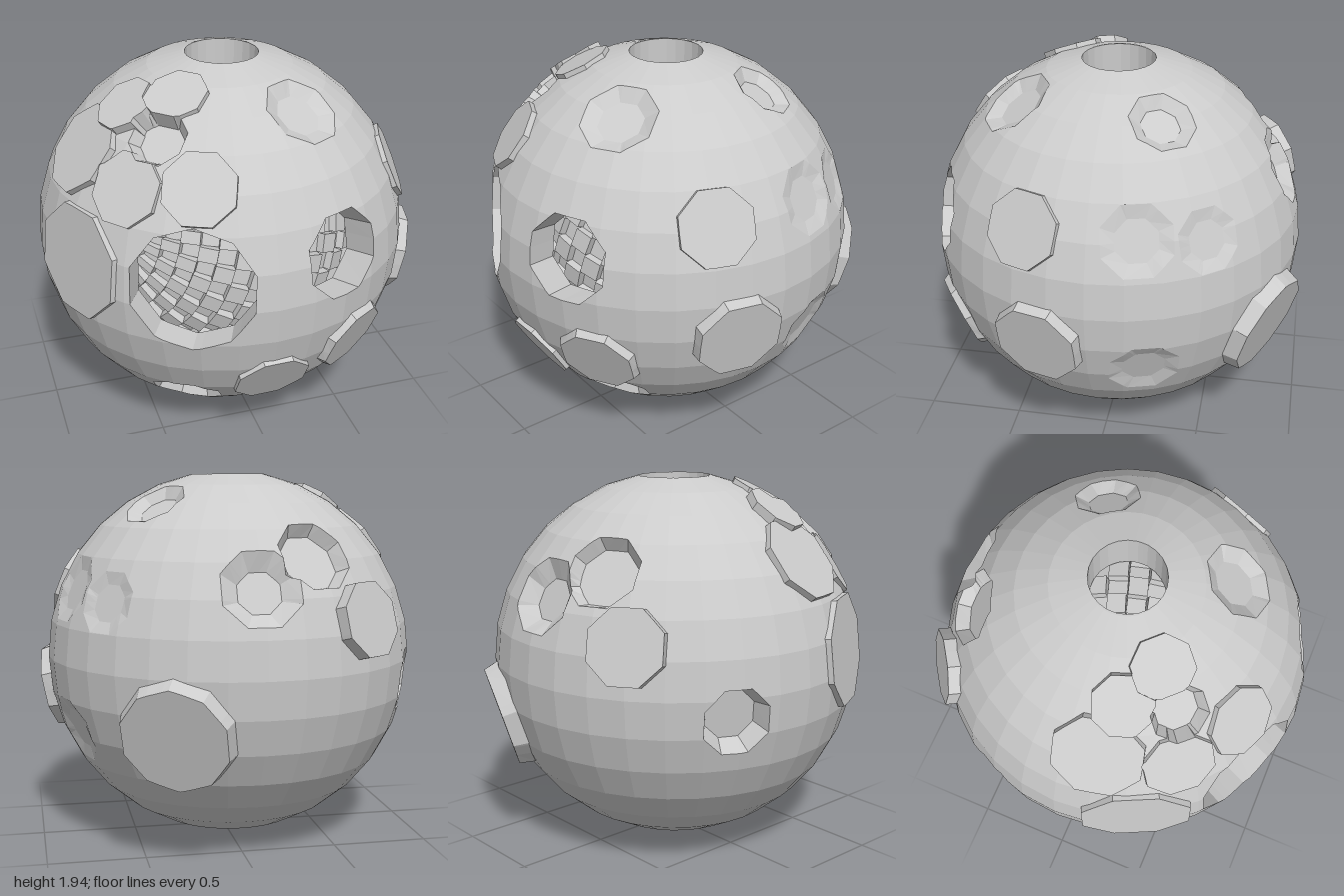
import * as THREE from 'three';
import { mergeGeometries } from 'three/addons/utils/BufferGeometryUtils.js';

const R = 0.98;
const CENTER = new THREE.Vector3(-0.03, 0.98, 0.02);

// Faceted ball as a list of planar polygons around the origin.
function ballPolygons(cols, rows) {
  const at = (i, j) => new THREE.Vector3().setFromSphericalCoords(R, (j / rows) * Math.PI, (i / cols) * Math.PI * 2);
  const polys = [];
  for (let j = 0; j < rows; j++) {
    for (let i = 0; i < cols; i++) {
      const quad = [at(i, j), at(i, j + 1), at(i + 1, j + 1), at(i + 1, j)];
      if (j === 0) quad.pop();
      if (j === rows - 1) quad.splice(2, 1);
      polys.push(quad);
    }
  }
  return polys;
}

// Split a polygon by a plane through the origin.
function split(poly, n) {
  const inside = [], outside = [];
  poly.forEach((a, k) => {
    const b = poly[(k + 1) % poly.length];
    const da = a.dot(n), db = b.dot(n);
    if (da >= -1e-7) inside.push(a);
    if (da <= 1e-7) outside.push(a);
    if ((da > 1e-7 && db < -1e-7) || (da < -1e-7 && db > 1e-7)) {
      const m = a.clone().lerp(b, da / (da - db));
      inside.push(m);
      outside.push(m);
    }
  });
  return [inside, outside];
}

// Move a many-sided patch of the skin to a flat floor at the given depth,
// joined by walls. Depth above 1 gives a raised plate; open leaves a hole.
function stamp(polys, { pos, r, depth, shrink = 1, sides = 8, open = false }) {
  const c = new THREE.Vector3(...pos).normalize();
  const u = new THREE.Vector3(0, 1, 0);
  if (Math.abs(c.y) > 0.99) u.set(0, 0, 1);
  u.cross(c).normalize();
  const v = c.clone().cross(u);
  const corners = Array.from({ length: sides }, (_, k) => {
    const t = ((k + 0.5) / sides) * Math.PI * 2;
    return c.clone().multiplyScalar(Math.sqrt(R * R - r * r))
      .addScaledVector(u, r * Math.cos(t)).addScaledVector(v, r * Math.sin(t));
  });
  const planes = corners.map((p, k) => p.clone().cross(corners[(k + 1) % sides]).normalize());
  const toFloor = p => p.clone().addScaledVector(c, -p.dot(c)).multiplyScalar(shrink).addScaledVector(c, depth * R);
  const result = [];
  for (const poly of polys) {
    let rest = poly;
    const cutOff = [];
    for (const n of planes) {
      const [inside, outside] = split(rest, n);
      if (outside.length > 2) cutOff.push(outside);
      rest = inside;
      if (rest.length < 3) break;
    }
    if (rest.length < 3) {
      result.push(poly);
      continue;
    }
    result.push(...cutOff);
    if (!open) result.push(rest.map(toFloor));
    rest.forEach((a, k) => {
      const b = rest[(k + 1) % rest.length];
      if (planes.some(n => Math.abs(a.dot(n)) < 1e-5 && Math.abs(b.dot(n)) < 1e-5)) {
        result.push([a, b, toFloor(b), toFloor(a)]);
      }
    });
  }
  return result;
}

function polygonsToGeometry(polys) {
  const pts = [];
  for (const p of polys) {
    for (let k = 1; k < p.length - 1; k++) pts.push(p[0], p[k], p[k + 1]);
  }
  const g = new THREE.BufferGeometry().setFromPoints(pts);
  g.computeVertexNormals();
  return g;
}

const plate = (x, y, z, r, depth = 1.01, shrink = 1) => ({ pos: [x, y, z], r, depth, shrink });
const bowl = (x, y, z, r, depth = 0.91, shrink = 0.6) => ({ pos: [x, y, z], r, depth, shrink });
const hole = (x, y, z, r, sides, depth, shrink = 0.97) => ({ pos: [x, y, z], r, sides, depth, shrink, open: true });

const STAMPS = [
  // left side
  plate(0.83, 0.38, 0.32, 0.2, 1.0),
  plate(0.94, -0.2, 0.25, 0.24, 1.025, 0.96),
  bowl(0.87, 0.39, -0.24, 0.19, 0.96),
  bowl(0.87, -0.35, -0.28, 0.19, 0.96),
  bowl(0.73, 0.35, -0.57, 0.17, 0.965),
  // upper shallow bowls
  bowl(0.26, 0.76, 0.46, 0.2, 0.94),
  bowl(0.44, 0.82, -0.29, 0.17, 0.94),
  // lower front
  plate(0.47, -0.37, 0.77, 0.22, 1.01, 0.92),
  plate(0.02, -0.5, 0.84, 0.2, 1.0),
  bowl(0.37, -0.68, 0.6, 0.19, 0.9, 0.7),
  bowl(-0.36, -0.68, 0.6, 0.19, 0.88, 0.75),
  bowl(0.01, -0.78, 0.57, 0.19, 0.9, 0.75),
  // back
  { ...plate(0.42, -0.29, -0.84, 0.3, 1.03, 0.93), sides: 10 },
  bowl(0.01, 0.43, -0.87, 0.21, 0.91, 0.55),
  bowl(-0.29, 0.58, -0.74, 0.2, 0.91, 0.8),
  plate(-0.53, 0.25, -0.78, 0.2, 1.04),
  bowl(-0.89, -0.12, -0.4, 0.18, 0.87, 0.75),
  // cluster on the upper right
  plate(-0.74, 0.58, 0.16, 0.24, 1.0),
  plate(-0.62, 0.52, 0.53, 0.19, 1.0),
  plate(-0.52, 0.79, 0.2, 0.16, 1.03),
  bowl(-0.45, 0.74, 0.46, 0.15, 0.92, 0.75),
  plate(-0.31, 0.87, 0.31, 0.16, 1.01),
  plate(-0.32, 0.57, 0.73, 0.19, 1.01),
  plate(-0.84, 0.1, 0.4, 0.3, 0.98),
  // openings to the core
  hole(-0.41, 0.1, 0.88, 0.32, 10, 0.78),
  hole(0.37, 0.19, 0.88, 0.23, 8, 0.78),
  hole(0.01, 1, 0, 0.19, 24, 0.74, 1),
];

// Rough inner ball of blocks raised and sunk like a checkerboard.
function coreGeometry() {
  const rows = 24, cols = 44, size = 0.098, parts = [];
  const o = new THREE.Object3D();
  for (let j = 0; j < rows; j++) {
    const phi = ((j + 0.5) / rows) * Math.PI;
    for (let i = 0; i < cols; i++) {
      o.position.setFromSphericalCoords(0.65 + ((i + j) % 2) * 0.04, phi, (i / cols) * Math.PI * 2);
      o.lookAt(o.position.clone().multiplyScalar(2));
      o.updateMatrix();
      parts.push(new THREE.BoxGeometry(size * Math.sin(phi), size, 0.1).applyMatrix4(o.matrix));
    }
  }
  return mergeGeometries(parts);
}

export function createModel() {
  const group = new THREE.Group();
  group.name = 'crateredBall';
  const material = new THREE.MeshStandardMaterial({ color: 0xcccccc, flatShading: true, side: THREE.DoubleSide });

  const shell = new THREE.Mesh(polygonsToGeometry(STAMPS.reduce(stamp, ballPolygons(32, 16))), material);
  shell.name = 'shell';
  shell.position.copy(CENTER);

  const core = new THREE.Mesh(coreGeometry(), material);
  core.name = 'blockCore';
  core.position.copy(CENTER);
  core.rotation.set(0.35, 0.2, 1.2);

  group.add(shell, core);
  return group;
}
